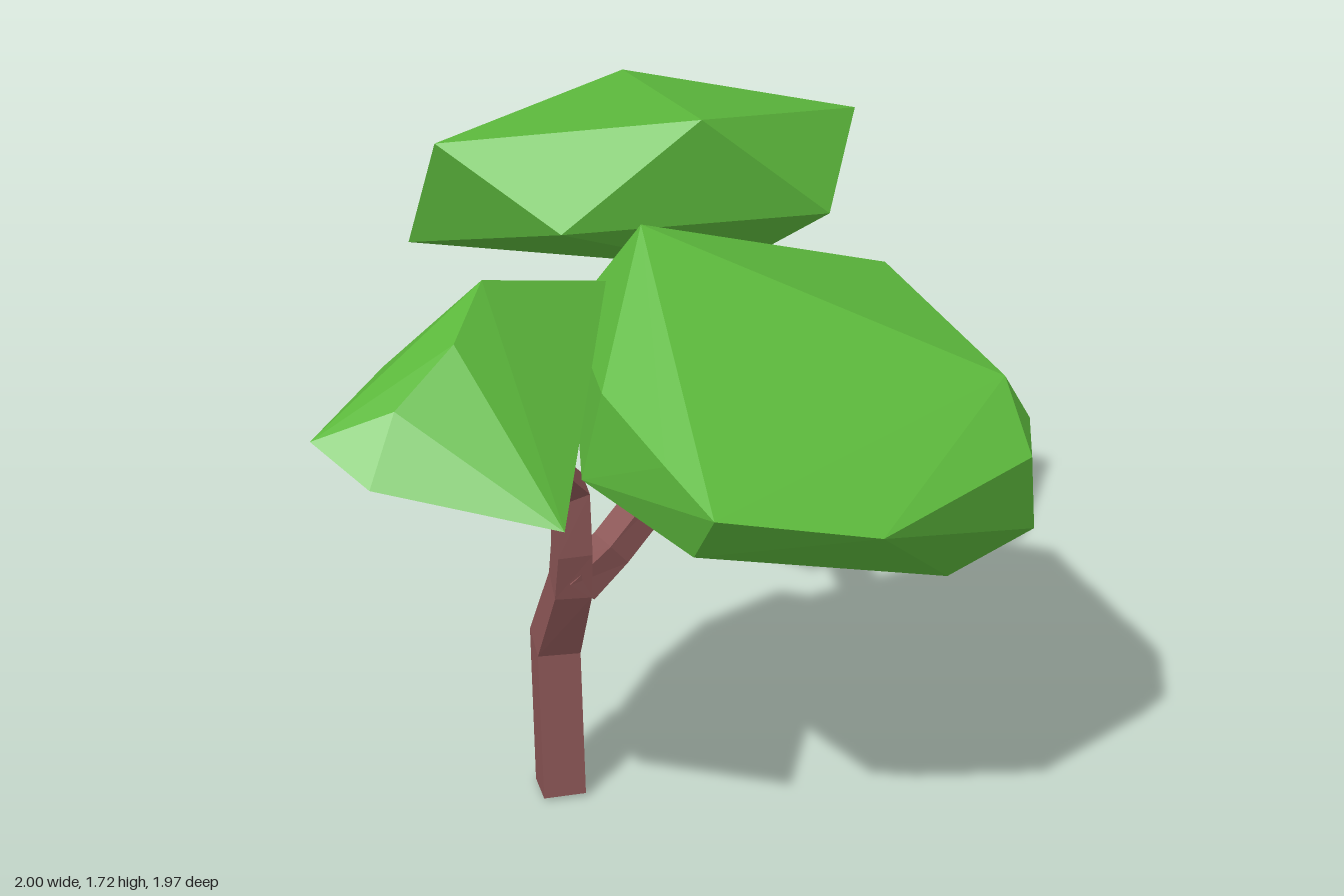
import * as THREE from 'three';
import { ConvexGeometry } from 'three/addons/geometries/ConvexGeometry.js';

const V = (p) => new THREE.Vector3(...p);
const bark = new THREE.MeshStandardMaterial({ color: 0x8a5555, flatShading: true });
const leaf = new THREE.MeshStandardMaterial({ color: 0x5cb83c, flatShading: true });

// Four-sided limb swept along a bent path; ref sets where its first corner points.
function limb(name, path, radii, ref) {
  const pts = path.map(V), pos = [], idx = [];
  pts.forEach((p, i) => {
    const t = new THREE.Vector3();
    if (i > 0) t.add(p.clone().sub(pts[i - 1]).normalize());
    if (i < pts.length - 1) t.add(pts[i + 1].clone().sub(p).normalize());
    t.normalize();
    const u = V(ref).addScaledVector(t, -V(ref).dot(t)).normalize();
    const v = t.clone().cross(u);
    for (let k = 0; k < 4; k++) {
      const a = (k * Math.PI) / 2;
      pos.push(...p.clone().addScaledVector(u, radii[i] * Math.cos(a)).addScaledVector(v, radii[i] * Math.sin(a)).toArray());
    }
    if (i === 0) return;
    for (let k = 0; k < 4; k++) {
      const a = (i - 1) * 4 + k, b = (i - 1) * 4 + ((k + 1) % 4);
      idx.push(a, b, b + 4, a, b + 4, a + 4);
    }
  });
  // end caps
  const e = (pts.length - 1) * 4;
  idx.push(0, 2, 1, 0, 3, 2, e, e + 1, e + 2, e, e + 2, e + 3);
  const geo = new THREE.BufferGeometry();
  geo.setAttribute('position', new THREE.Float32BufferAttribute(pos, 3));
  geo.setIndex(idx);
  const flat = geo.toNonIndexed();
  flat.computeVertexNormals();
  const mesh = new THREE.Mesh(flat, bark);
  mesh.name = name;
  return mesh;
}

// Faceted leaf clump: convex hull of its corner points.
function clump(name, corners) {
  const mesh = new THREE.Mesh(new ConvexGeometry(corners.map(V)), leaf);
  mesh.name = name;
  return mesh;
}

export function createModel() {
  const tree = new THREE.Group();
  tree.name = 'tree';

  // Trunk, bending forward into the front limb
  tree.add(limb('trunk',
    [[0.02, 0.005, 0.175], [-0.01, 0.42, 0.165], [0.095, 0.64, 0.2], [0.12, 0.76, 0.215], [0.12, 0.92, 0.22], [0.18, 1.17, 0.47]],
    [0.077, 0.077, 0.065, 0.06, 0.057, 0.05], [0.3, 0, 0.95]));

  // Back limb and its forks
  tree.add(limb('backLimb',
    [[0.11, 0.65, 0.19], [0.155, 0.74, 0.12], [0.11, 0.99, -0.29]],
    [0.06, 0.055, 0.055], [0.6, 0.8, 0]));
  tree.add(limb('backRightLimb',
    [[0.13, 0.96, -0.25], [0.03, 1.02, -0.3], [-0.09, 1.08, -0.33], [-0.31, 1.16, -0.42]],
    [0.05, 0.055, 0.055, 0.04], [0, 0.8, 0.6]));
  tree.add(limb('backLeftLimb',
    [[0.08, 0.97, -0.26], [0.18, 1.01, -0.3], [0.35, 1.07, -0.35]],
    [0.045, 0.05, 0.04], [0, 0.8, 0.6]));
  tree.add(limb('upperTwig',
    [[-0.07, 1.06, -0.32], [-0.16, 1.17, -0.31], [-0.17, 1.32, -0.29]],
    [0.045, 0.05, 0.035], [0.4, 0, 0.9]));

  // Leaf clumps
  tree.add(clump('backRightLeaves', [
    [0.05, 1.725, -0.25], [-0.5, 1.655, -0.47], [-0.5, 1.6, 0.135], [-1, 1.355, -0.28],
    [-0.74, 1.24, 0.05], [-0.09, 1.47, 0.07], [-0.09, 1.565, -0.905], [-0.745, 1.34, -0.925],
    [-0.335, 1.2, -0.985], [0.17, 1.44, -0.57], [-0.89, 1.075, -0.6], [-0.28, 1.15, -0.6],
    [-0.03, 1.27, -0.42],
  ]));
  tree.add(clump('leftLeaves', [
    [0.12, 1.545, 0], [0.26, 1.31, -0.68], [0.8, 1.235, -0.54], [0.1, 1.25, -0.65],
    [0.14, 1.15, -0.74], [0.635, 1.05, -0.69], [0.82, 1.11, -0.615], [0.94, 0.895, -0.52],
    [0.55, 0.95, -0.66], [0.3, 1.03, -0.71], [0.965, 1.11, -0.465], [1, 1.09, 0.05],
    [0.82, 1.175, 0.39], [0.635, 1.23, 0.37], [0.7, 1.02, 0.34], [0.37, 1.3, 0.33],
    [0.31, 1.06, 0.34], [0.83, 0.78, -0.35], [-0.02, 1.3, 0.1], [0.1, 1.13, -0.4],
    [0.2, 1.08, 0.1],
  ]));
  tree.add(clump('frontLeaves', [
    [0.13, 1.54, 0.48], [0.26, 1.48, 0.66], [-0.085, 1.34, 0.42], [-0.01, 1.33, 0.66],
    [0.165, 1.31, 0.985], [0.325, 1.24, 0.945], [0.28, 1.38, 0.84], [0.64, 1.17, 0.66],
    [0.18, 1.08, 0.57], [0.1, 1.42, 0.09], [-0.075, 1.36, 0.15], [0.33, 1.2, 0.37],
    [0.02, 1.18, 0.4],
  ]));
  return tree;
}
